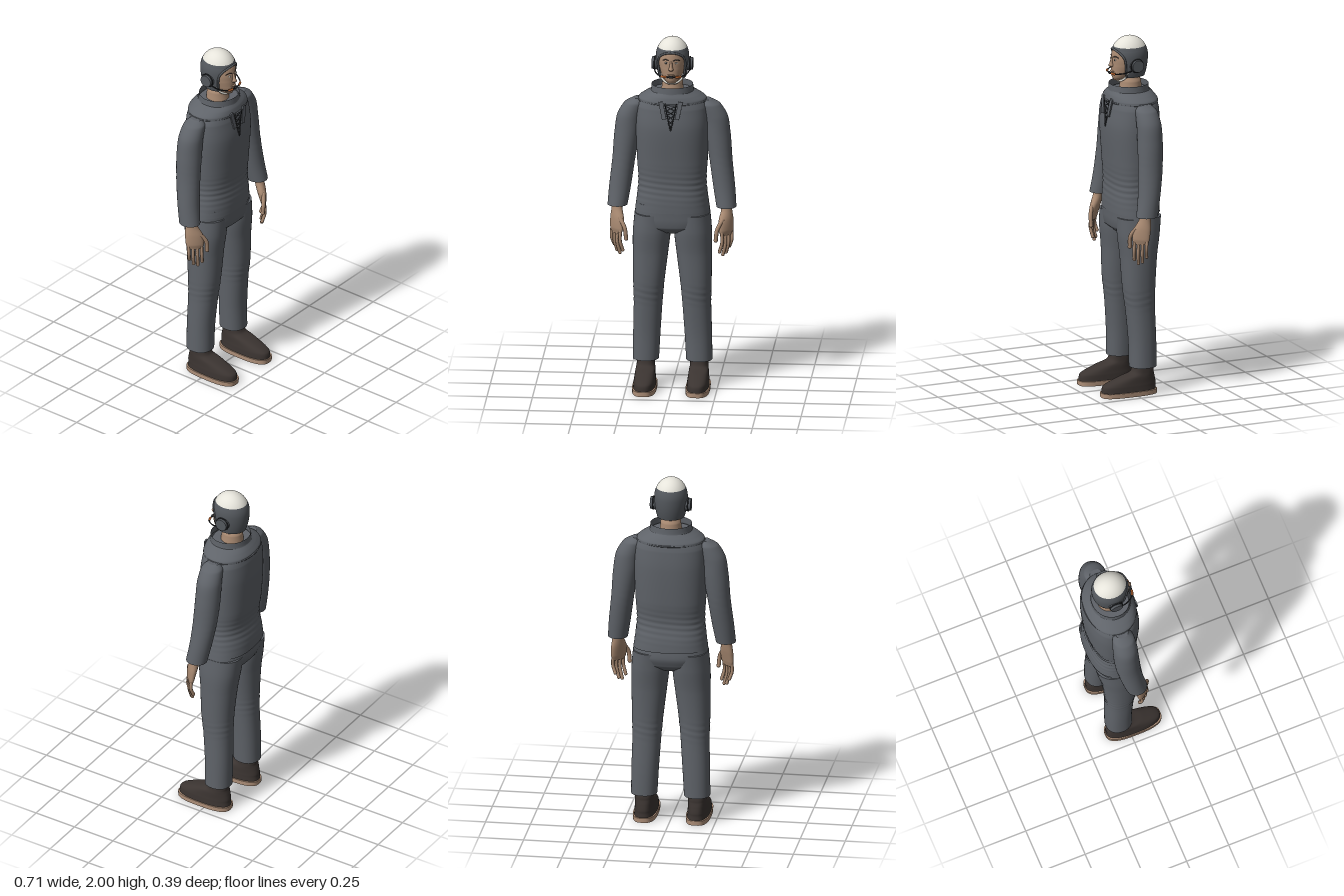
import * as THREE from 'three';

const mat = (name, color, side = THREE.FrontSide) => {
  const m = new THREE.MeshStandardMaterial({ color, side });
  m.name = name;
  return m;
};

export function createModel() {
  const root = new THREE.Group();
  const suit = mat('suit grey', 0x5f6369, THREE.DoubleSide);
  const shell = mat('helmet grey', 0x54585d, THREE.DoubleSide);
  const white = mat('off white', 0xe6e4db);
  const skin = mat('skin', 0xa98a72);
  const leather = mat('dark leather', 0x3b3431);
  const soleTan = mat('sole tan', 0xb0917a);
  const orange = mat('orange', 0xb5622e);
  const black = mat('near black', 0x26282b);

  const add = (name, geo, material, parent = root) => {
    const mesh = new THREE.Mesh(geo, material);
    mesh.name = name;
    parent.add(mesh);
    return mesh;
  };

  // Smooth body through horizontal sections [y, cx, cz, rx, rz], listed from the top down
  function loft(sections, { n = 2, seg = 40, steps = 8, caps = true, turn = 0, ripple = null } = {}) {
    const centre = new THREE.CatmullRomCurve3(sections.map(s => new THREE.Vector3(s[1], s[0], s[2])));
    const radius = new THREE.CatmullRomCurve3(sections.map(s => new THREE.Vector3(s[3], s[4], 0)));
    const rows = (sections.length - 1) * steps;
    const pos = [], index = [];
    const pw = v => Math.sign(v) * Math.pow(Math.abs(v), 2 / n);
    const ct = Math.cos(turn), st = Math.sin(turn);
    const ring = i => {
      const c = centre.getPoint(i / rows), r = radius.getPoint(i / rows);
      for (let j = 0; j < seg; j++) {
        const a = j / seg * Math.PI * 2;
        const k = 1 + (ripple ? ripple(c.y, a) : 0);
        const x = pw(Math.cos(a)) * r.x * k, z = pw(Math.sin(a)) * r.y * k;
        pos.push(c.x + x * ct - z * st, c.y, c.z + x * st + z * ct);
      }
      return c;
    };
    for (let i = 0; i <= rows; i++) ring(i);
    for (let i = 0; i < rows; i++) for (let j = 0; j < seg; j++) {
      const a = i * seg + j, b = i * seg + (j + 1) % seg;
      index.push(a, b, a + seg, b, b + seg, a + seg);
    }
    if (caps) for (const i of [0, rows]) {
      const base = pos.length / 3, c = ring(i), mid = pos.length / 3;
      pos.push(c.x, c.y, c.z);
      for (let j = 0; j < seg; j++) {
        const a = base + j, b = base + (j + 1) % seg;
        if (i === 0) index.push(mid, b, a); else index.push(mid, a, b);
      }
    }
    const g = new THREE.BufferGeometry();
    g.setAttribute('position', new THREE.Float32BufferAttribute(pos, 3));
    g.setIndex(index);
    g.computeVertexNormals();
    return g;
  }

  const v3 = p => new THREE.Vector3(...p);
  const tube = (pts, r, closed = false, seg = 24) =>
    new THREE.TubeGeometry(new THREE.CatmullRomCurve3(pts.map(v3), closed), seg, r, 8, closed);
  const ball = (name, p, s, material, parent = root) => {
    const m = add(name, new THREE.SphereGeometry(1, 20, 14), material, parent);
    m.position.set(...p);
    m.scale.set(...s);
    return m;
  };
  // Cloth creases around a given height
  const folds = (y0, width, amount, freq) => (y, a) =>
    amount * Math.exp(-(((y - y0) / width) ** 2)) * Math.sin(y * freq + 1.5 * Math.sin(a * 2));

  // Jacket and pelvis
  add('jacket', loft([
    [1.70, 0, -0.045, 0.105, 0.10], [1.66, 0, -0.05, 0.17, 0.125], [1.61, 0, -0.05, 0.195, 0.137],
    [1.5, 0, -0.047, 0.202, 0.146], [1.3, 0, -0.048, 0.194, 0.136], [1.18, 0, -0.045, 0.187, 0.125],
    [1.08, 0, -0.05, 0.197, 0.135], [1.02, 0, -0.052, 0.205, 0.138]],
  { n: 2.4, seg: 64, steps: 14, ripple: folds(1.17, 0.07, 0.012, 190) }), suit);
  add('pelvis', loft([
    [1.06, 0, -0.045, 0.198, 0.13], [0.98, 0, -0.05, 0.208, 0.132], [0.93, 0, -0.045, 0.19, 0.12],
    [0.895, 0, -0.045, 0.06, 0.08]], { n: 2.4, seg: 56 }), suit);

  // Collar: standing band over a wide flap with a raised hem
  add('collarBand', loft([
    [1.735, 0, -0.04, 0.114, 0.108], [1.70, 0, -0.04, 0.117, 0.111], [1.68, 0, -0.042, 0.135, 0.12]],
  { seg: 56, caps: false }), suit);
  add('collarFlap', loft([
    [1.70, 0, -0.042, 0.118, 0.112], [1.68, 0, -0.045, 0.155, 0.126],
    [1.655, 0, -0.05, 0.187, 0.138], [1.64, 0, -0.05, 0.188, 0.14]],
  { n: 2.15, seg: 56, caps: false }), suit);
  const hem = [];
  for (let i = 0; i < 24; i++) {
    const a = i / 24 * Math.PI * 2;
    hem.push([0.187 * Math.cos(a), 1.645, -0.05 + 0.139 * Math.sin(a)]);
  }
  add('collarHem', tube(hem, 0.005, true, 80), suit);

  // Neck opening with hanging ties and crossed lacing
  const frontZ = y => 0.103 - 0.13 * (y - 1.5);
  for (const s of [1, -1]) {
    const lapel = add('collarTie', new THREE.BoxGeometry(0.024, 0.1, 0.008), suit);
    lapel.position.set(s * 0.045, 1.615, 0.094);
    lapel.rotation.set(-0.12, 0, s * -0.2);
    add('openingEdge', tube([[s * 0.032, 1.655, 0.094], [s * 0.02, 1.59, frontZ(1.59) + 0.002],
      [0, 1.50, frontZ(1.5)]], 0.003), black);
    for (let i = 0; i < 5; i++) {
      const y = 1.635 - i * 0.025, w = 0.024 - i * 0.004;
      add('lace', tube([[s * w, y, frontZ(y) + 0.001], [-s * w, y - 0.022, frontZ(y) + 0.004]], 0.002, false, 4), black);
    }
  }

  for (const s of [1, -1]) {
    const side = s > 0 ? 'left' : 'right';
    // Sleeve
    add(side + 'Sleeve', loft([
      [1.648, s * 0.19, -0.05, 0.025, 0.035], [1.62, s * 0.205, -0.05, 0.06, 0.06],
      [1.55, s * 0.235, -0.052, 0.07, 0.068], [1.45, s * 0.25, -0.052, 0.07, 0.07],
      [1.3, s * 0.268, -0.045, 0.063, 0.068], [1.15, s * 0.287, -0.028, 0.06, 0.062],
      [1.045, s * 0.3, -0.01, 0.055, 0.06]], { ripple: folds(1.3, 0.07, 0.012, 150) }), suit);

    // Hand: palm set diagonally, four fingers and a thumb
    const hand = new THREE.Group();
    hand.name = side + 'Hand';
    root.add(hand);
    add('palm', loft([
      [1.08, s * 0.3, -0.005, 0.03, 0.026], [1.03, s * 0.302, 0.003, 0.033, 0.026],
      [0.97, s * 0.3, 0.02, 0.05, 0.025], [0.92, s * 0.302, 0.028, 0.05, 0.019],
      [0.892, s * 0.302, 0.03, 0.04, 0.011]], { seg: 24, turn: -s * Math.PI / 4 }), skin, hand);
    const finger = (name, pts, r) => {
      add(name, tube(pts, r, false, 12), skin, hand);
      ball(name + 'Tip', pts[2], [r, r, r], skin, hand);
    };
    for (let i = 0; i < 4; i++) {
      const t = -0.036 + i * 0.024, len = [0.085, 0.115, 0.125, 0.105][i];
      const x = 0.304 - 0.7 * t, z = 0.03 + 0.7 * t;
      finger('finger', [[s * x, 0.915, z], [s * (x + 0.002), 0.905 - len * 0.5, z + 0.004],
        [s * (x - 0.012), 0.905 - len, z - 0.004]], 0.0095);
    }
    finger('thumb', [[s * 0.285, 0.985, 0.045], [s * 0.255, 0.93, 0.07], [s * 0.247, 0.87, 0.07]], 0.0115);

    // Trouser leg
    add(side + 'TrouserLeg', loft([
      [1.0, s * 0.108, -0.05, 0.1, 0.125], [0.9, s * 0.113, -0.045, 0.104, 0.118],
      [0.78, s * 0.12, -0.042, 0.098, 0.102], [0.6, s * 0.13, -0.04, 0.086, 0.09],
      [0.48, s * 0.134, -0.046, 0.079, 0.081], [0.3, s * 0.142, -0.055, 0.075, 0.076],
      [0.155, s * 0.147, -0.056, 0.072, 0.075]],
    { n: 2.2, steps: 12, ripple: folds(0.54, 0.05, 0.012, 170) }), suit);

    // Shoe and sole
    add(side + 'Shoe', loft([
      [0.18, s * 0.147, -0.055, 0.048, 0.053], [0.125, s * 0.147, -0.05, 0.05, 0.065],
      [0.1, s * 0.147, -0.015, 0.054, 0.107], [0.06, s * 0.147, 0.027, 0.059, 0.156],
      [0.022, s * 0.147, 0.03, 0.062, 0.16]], { n: 2.5 }), leather);
    add(side + 'Sole', loft([
      [0.026, s * 0.147, 0.03, 0.067, 0.165], [0, s * 0.147, 0.03, 0.066, 0.164]],
    { n: 2.9, steps: 2 }), soleTan);
  }

  // Neck, head and face
  add('neck', loft([[1.82, 0, -0.05, 0.056, 0.058], [1.75, 0, -0.052, 0.056, 0.058],
    [1.68, 0, -0.05, 0.064, 0.066]]), skin);
  add('head', loft([
    [1.955, 0, -0.035, 0.05, 0.06], [1.92, 0, -0.033, 0.07, 0.088], [1.875, 0, -0.03, 0.074, 0.091],
    [1.84, 0, -0.028, 0.071, 0.09], [1.8, 0, -0.018, 0.06, 0.08], [1.775, 0, -0.002, 0.044, 0.06],
    [1.757, 0, 0.015, 0.024, 0.033]]), skin);
  add('nose', loft([[1.888, 0, 0.058, 0.006, 0.007], [1.855, 0, 0.063, 0.009, 0.013],
    [1.842, 0, 0.064, 0.014, 0.017], [1.832, 0, 0.06, 0.007, 0.009]], { seg: 16, steps: 5 }), skin);
  ball('lips', [0, 1.809, 0.06], [0.02, 0.006, 0.008], skin);
  for (const s of [1, -1]) {
    ball('eye', [s * 0.027, 1.877, 0.0545], [0.011, 0.005, 0.004], white);
    ball('iris', [s * 0.027, 1.877, 0.0575], [0.004, 0.0045, 0.002], black);
    add('eyebrow', tube([[s * 0.012, 1.89, 0.058], [s * 0.028, 1.896, 0.053], [s * 0.046, 1.889, 0.042]], 0.0028), leather);
  }

  // Helmet shell: rows from the cap line down, leaving an opening for the face
  const size = y => y > 1.89 ? Math.sqrt(Math.max(0, 1 - ((y - 1.89) / 0.11) ** 2))
    : 1 - 0.17 * ((1.89 - y) / 0.11) ** 2;
  const gap = y => 0.98 * Math.pow(Math.max(0, 1 - Math.pow(Math.max(0, (y - 1.84) / 0.092), 3)), 0.5);
  const shellPoint = (y, a) => [0.092 * size(y) * Math.sin(a), y, -0.045 + 0.104 * size(y) * Math.cos(a)];
  const shellRows = 28, shellCols = 56, pos = [], index = [];
  for (let i = 0; i <= shellRows; i++) {
    const y = 1.945 - 0.168 * i / shellRows, a0 = gap(y);
    for (let j = 0; j <= shellCols; j++)
      pos.push(...shellPoint(y, a0 + (Math.PI * 2 - 2 * a0) * j / shellCols));
  }
  for (let i = 0; i < shellRows; i++) for (let j = 0; j < shellCols; j++) {
    const a = i * (shellCols + 1) + j, c = a + shellCols + 1;
    index.push(a, c, a + 1, a + 1, c, c + 1);
  }
  const shellGeo = new THREE.BufferGeometry();
  shellGeo.setAttribute('position', new THREE.Float32BufferAttribute(pos, 3));
  shellGeo.setIndex(index);
  shellGeo.computeVertexNormals();
  add('helmetShell', shellGeo, shell);

  // White crown
  const crown = add('helmetCrown', new THREE.SphereGeometry(1, 48, 20, 0, Math.PI * 2, 0, Math.acos(0.5)), white);
  crown.position.set(0, 1.89, -0.045);
  crown.scale.set(0.0922, 0.11, 0.1042);

  // Rolled edge around the face opening
  const edge = [];
  for (let i = 0; i <= 10; i++) {
    const y = 1.78 + 0.152 * Math.sin(i / 10 * Math.PI / 2);
    edge.push(shellPoint(y, gap(y)));
  }
  const otherEdge = edge.slice(0, -1).reverse().map(p => [-p[0], p[1], p[2]]);
  add('helmetEdge', tube([...edge, ...otherEdge], 0.006, false, 64), shell);

  // Ear cups, microphone booms and chin strap
  for (const s of [1, -1]) {
    const cup = add('earCup', new THREE.CylinderGeometry(0.034, 0.038, 0.034, 32), shell);
    cup.rotation.z = -s * Math.PI / 2;
    cup.position.set(s * 0.096, 1.848, -0.047);
    const ring = add('earCupRing', new THREE.TorusGeometry(0.036, 0.004, 8, 32), black);
    ring.rotation.y = Math.PI / 2;
    ring.position.set(s * 0.097, 1.848, -0.047);
    add('microphoneBoom', tube([[s * 0.1, 1.825, -0.02], [s * 0.085, 1.81, 0.025],
      [s * 0.052, 1.803, 0.066], [s * 0.01, 1.802, 0.077]], 0.0035), black);
    add('boomSleeve', tube([[s * 0.055, 1.803, 0.064], [s * 0.04, 1.802, 0.071],
      [s * 0.025, 1.802, 0.075]], 0.0065, false, 8), orange);
  }
  ball('microphone', [0, 1.802, 0.076], [0.014, 0.008, 0.007], black);
  add('chinStrap', tube([[0.07, 1.81, -0.005], [0.055, 1.776, 0.005], [0.03, 1.757, 0.022], [0, 1.752, 0.03],
    [-0.03, 1.757, 0.022], [-0.055, 1.776, 0.005], [-0.07, 1.81, -0.005]], 0.006, false, 40), white);

  return root;
}
